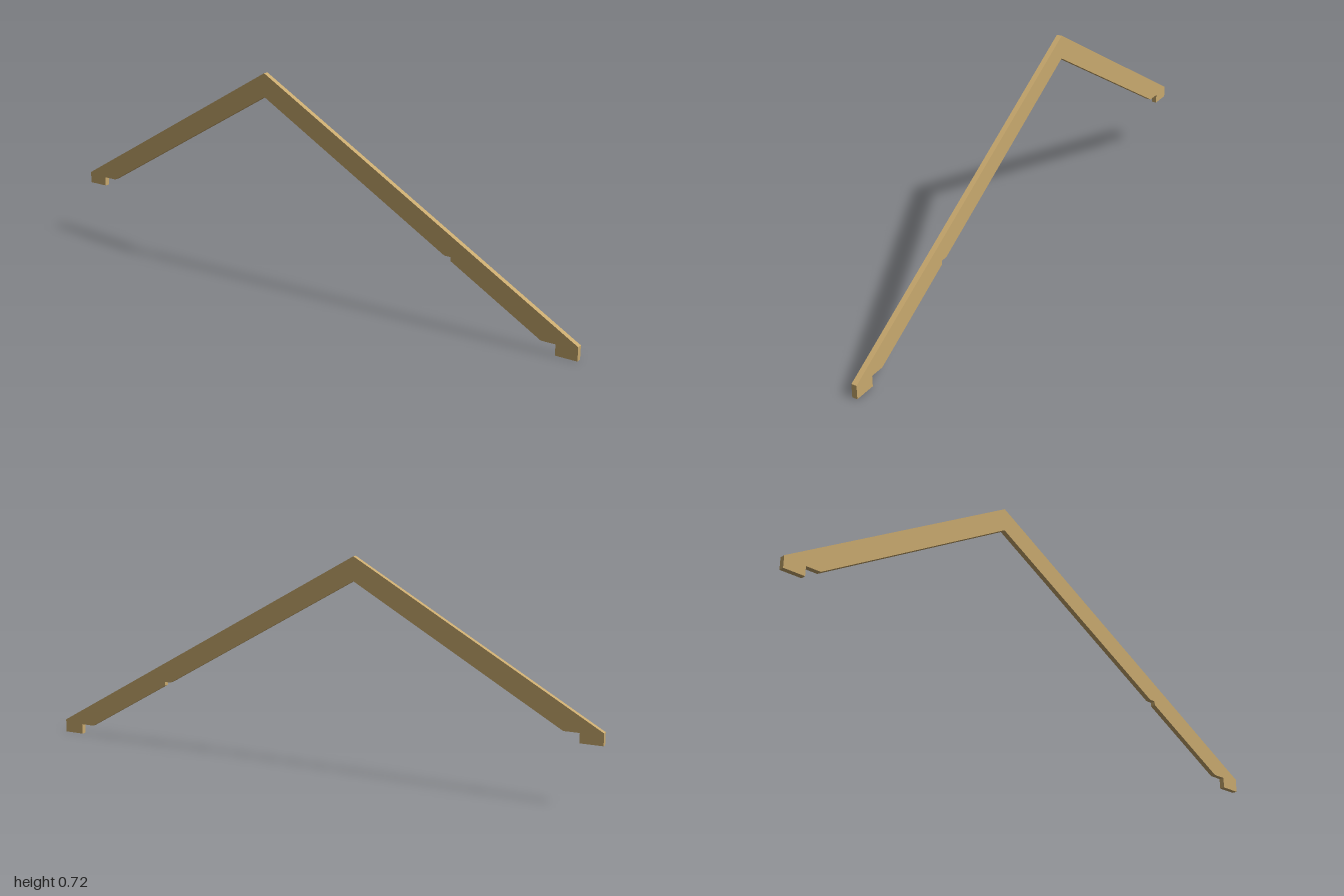
import * as THREE from 'three';

export function createModel() {
  const group = new THREE.Group();
  group.name = 'rafterPair';
  const wood = new THREE.MeshStandardMaterial({ color: 0xc8a96e });
  wood.name = 'tan wood';

  const width = 0.018;
  const slope = Math.tan(Math.PI / 6);
  const ridge = -0.168, topY = 0.72, innerY = 0.64;
  const top = (z) => topY - slope * Math.abs(z - ridge);
  const under = (z) => innerY - slope * Math.abs(z - ridge);
  // z where the underside reaches a given height, on the front (+1) or back (-1) slope
  const underAt = (y, side) => ridge + side * (innerY - y) / slope;

  // Side profile in (z, y): both slopes, plumb-cut tails and seat notches
  const frontSeat = 0.036, backSeat = 0.232, midSeat = 0.233, midZ = 0.56;
  const profile = [
    [1, 0], [1, top(1)], [ridge, topY], [-1, top(-1)],
    [-1, 0.2], [-0.926, 0.2], [-0.926, backSeat], [underAt(backSeat, -1), backSeat],
    [ridge, innerY],
    [underAt(midSeat, 1), midSeat], [midZ, midSeat], [midZ, under(midZ)],
    [underAt(frontSeat, 1), frontSeat], [0.927, frontSeat], [0.927, 0],
  ];
  const shape = new THREE.Shape(profile.map(([z, y]) => new THREE.Vector2(z, y)));

  // Thin board cut to the profile, turned to run along z
  const geometry = new THREE.ExtrudeGeometry(shape, { depth: width, bevelEnabled: false });
  geometry.translate(0, 0, -width / 2);
  geometry.rotateY(-Math.PI / 2);
  const rafters = new THREE.Mesh(geometry, wood);
  rafters.name = 'rafters';
  group.add(rafters);
  return group;
}
